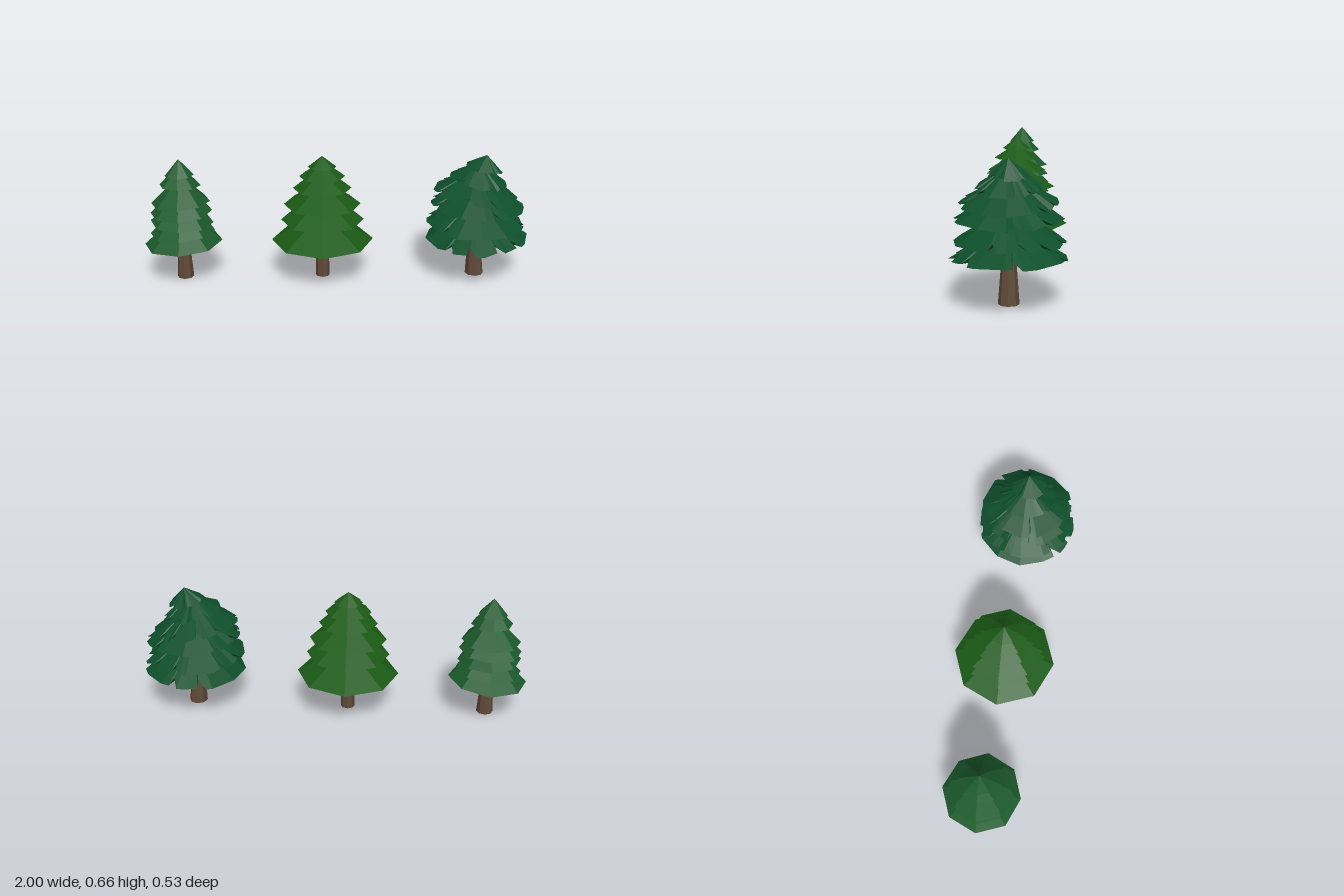
import * as THREE from 'three';

const material = (color) => new THREE.MeshStandardMaterial({ color, flatShading: true });
const bark = material(0x5f4a38);

// Small seeded generator for the ragged rims
function seeded(seed) {
  return () => (seed = (seed * 16807) % 2147483647) / 2147483647;
}

// Regular or slightly ragged rim as a ring of points around the tier centre
function makeRim({ r, sides, tilt = 0, wobble = 0, notches = false }, rand) {
  const rim = [];
  const add = (angle, radius, lift) => {
    const x = Math.cos(angle) * radius;
    rim.push(new THREE.Vector3(x, x * tilt + lift, Math.sin(angle) * radius));
  };
  for (let i = 0; i < sides; i++) {
    const angle = (i / sides) * Math.PI * 2;
    const radius = r * (1 - wobble * rand());
    const lift = (rand() - 0.5) * wobble * 0.2;
    add(angle, radius, lift);
    // A narrow cut between two branches
    if (notches && rand() < 0.5) {
      const mid = angle + (0.35 + 0.3 * rand()) * (Math.PI * 2 / sides);
      add(mid - 0.09, r * 0.98, lift);
      add(mid + 0.05, r * 0.8, lift + r * 0.11);
      add(mid + 0.08, r * 0.97, lift + 0.008);
    }
  }
  return rim;
}

// Closed low cone: sloping top and shallow underside
function makeTier(spec, foliage, rand) {
  const rim = makeRim(spec, rand);
  const top = new THREE.Vector3(spec.lean || 0, spec.r * spec.slope, 0);
  const under = new THREE.Vector3(0, 0.01, 0);
  const points = [];
  rim.forEach((p, i) => {
    const q = rim[(i + 1) % rim.length];
    points.push(top, q, p, under, p, q);
  });
  const geometry = new THREE.BufferGeometry().setFromPoints(points);
  geometry.computeVertexNormals();
  const mesh = new THREE.Mesh(geometry, foliage);
  mesh.position.set(spec.x || 0, spec.y, 0);
  mesh.name = 'branchTier';
  return mesh;
}

function makeTree({ name, x, color, trunk, tiers, seed, ...shared }) {
  const tree = new THREE.Group();
  tree.name = name;
  tree.position.x = x;

  // Tapered eight-sided trunk with a slight lean
  const [bottomR, topR, height, lean] = trunk;
  const geometry = new THREE.CylinderGeometry(topR, bottomR, height, 8);
  geometry.translate(0, height / 2, 0);
  const p = geometry.attributes.position;
  for (let i = 0; i < p.count; i++) p.setX(i, p.getX(i) + lean * p.getY(i) / height);
  geometry.computeVertexNormals();
  const stem = new THREE.Mesh(geometry, bark);
  stem.name = 'trunk';
  tree.add(stem);

  // Stacked foliage
  const foliage = material(color);
  const rand = seeded(seed);
  for (const [y, r, slope, tilt, offset, tipLean] of tiers) {
    tree.add(makeTier({ ...shared, y, r, slope, tilt, x: offset, lean: tipLean }, foliage, rand));
  }
  return tree;
}

export function createModel() {
  const model = new THREE.Group();
  model.name = 'pineTrees';

  // Tiers: rim height, rim radius, slope, sideways tilt, sideways offset, tip lean
  model.add(makeTree({
    name: 'narrowPine', x: -0.797, color: 0x1b5a2b, seed: 11, sides: 8, wobble: 0.03,
    trunk: [0.043, 0.03, 0.22, 0],
    tiers: [
      [0.197, 0.203, 0.85, 0.045],
      [0.255, 0.168, 0.95, 0.06],
      [0.31, 0.165, 0.95, -0.04],
      [0.363, 0.162, 0.95, 0.04],
      [0.418, 0.152, 0.95, 0.02],
      [0.51, 0.106, 1.0, -0.02],
      [0.562, 0.075, 1.13, 0.04],
    ],
  }));

  model.add(makeTree({
    name: 'evenPine', x: -0.072, color: 0x1a5a15, seed: 5, sides: 8,
    trunk: [0.037, 0.03, 0.22, 0],
    tiers: [
      [0.204, 0.264, 0.6],
      [0.315, 0.214, 0.62],
      [0.4, 0.198, 0.6],
      [0.487, 0.15, 0.63],
      [0.55, 0.117, 0.65],
      [0.6, 0.073, 0.78],
    ],
  }));

  model.add(makeTree({
    name: 'raggedPine', x: 0.735, color: 0x0e4f2b, seed: 29, sides: 12, wobble: 0.06, notches: true,
    trunk: [0.048, 0.03, 0.24, -0.012],
    tiers: [
      [0.207, 0.268, 0.6, 0.04, 0],
      [0.285, 0.258, 0.58, -0.03, -0.01],
      [0.382, 0.247, 0.6, -0.04, 0],
      [0.45, 0.222, 0.58, -0.1, -0.015],
      [0.518, 0.153, 0.65, -0.17, -0.005],
      [0.58, 0.095, 0.78, -0.16, 0.022, 0.01],
    ],
  }));

  return model;
}
